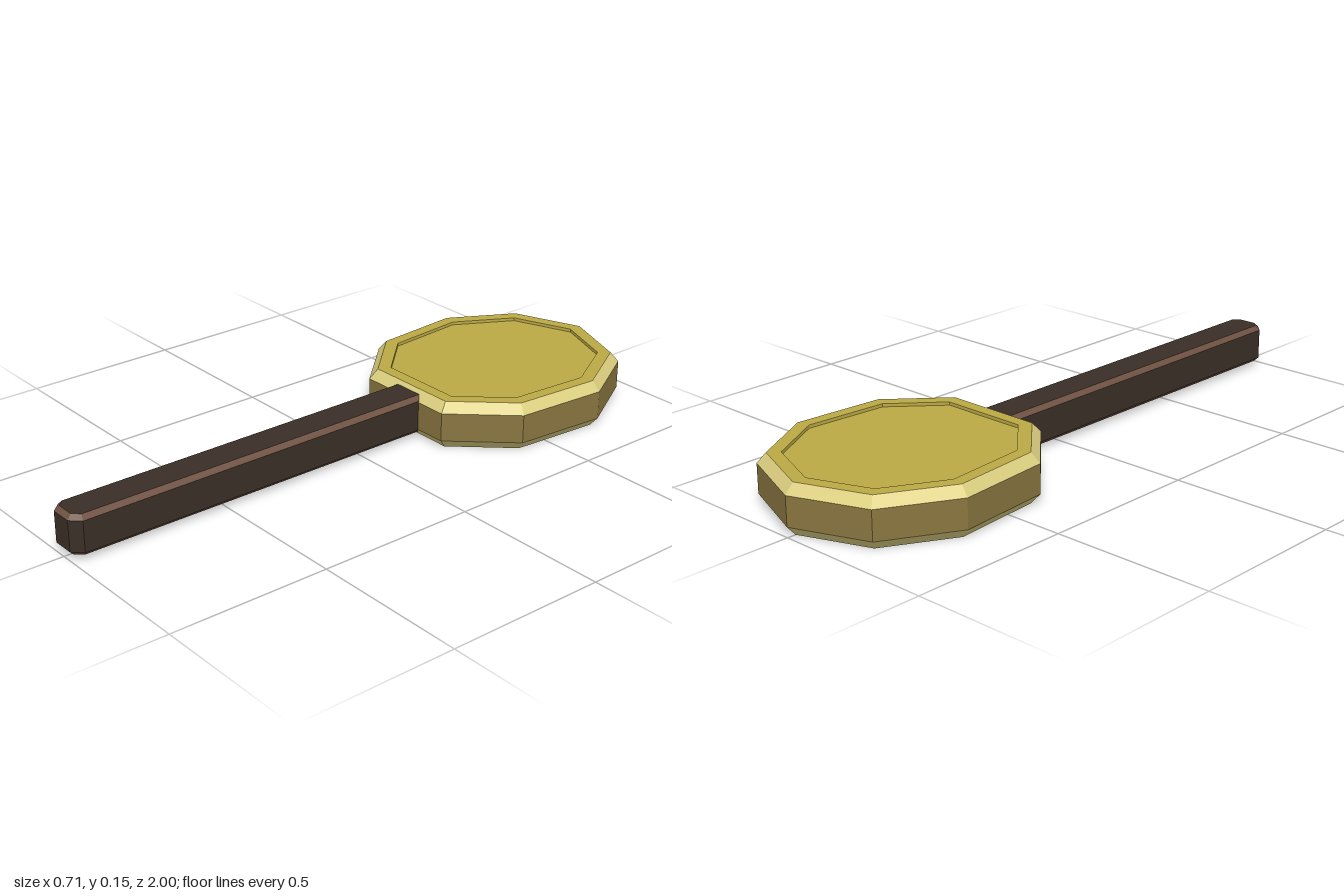
import * as THREE from 'three';

const mat = (name, color) => {
  const m = new THREE.MeshStandardMaterial({ color });
  m.name = name;
  return m;
};

// Complete a half outline of [x, z] points by mirroring it in x
const mirrored = (half) => [
  ...half,
  ...half.filter(([x]) => x > 0).reverse().map(([x, z]) => [-x, z]),
];

// Shrink a closed outline evenly by k
function inset(points, k) {
  const n = points.length;
  const normal = (a, b) => {
    const dx = b[0] - a[0], dz = b[1] - a[1], l = Math.hypot(dx, dz);
    return [-dz / l, dx / l];
  };
  return points.map((p, i) => {
    const n1 = normal(points[(i + n - 1) % n], p);
    const n2 = normal(p, points[(i + 1) % n]);
    const s = k / (1 + n1[0] * n2[0] + n1[1] * n2[1]);
    return [p[0] + (n1[0] + n2[0]) * s, p[1] + (n1[1] + n2[1]) * s];
  });
}

// Flat-faced solid from stacked rings { k: inset, y }; bands[i] is the
// material index between ring i and i + 1, and both caps use material 0
function stack(outline, rings, bands) {
  const pos = [];
  const geo = new THREE.BufferGeometry();
  const loops = rings.map(({ k, y }) => inset(outline, k).map(([x, z]) => [x, y, z]));
  const n = outline.length;
  const group = (index, fill) => {
    const start = pos.length / 3;
    fill();
    geo.addGroup(start, pos.length / 3 - start, index);
  };
  const cap = (loop, up) => {
    for (let i = 1; i < n - 1; i++) {
      const [a, b] = up ? [loop[i + 1], loop[i]] : [loop[i], loop[i + 1]];
      pos.push(...loop[0], ...a, ...b);
    }
  };
  group(0, () => cap(loops[0], false));
  bands.forEach((index, r) => group(index, () => {
    const lo = loops[r], hi = loops[r + 1];
    for (let i = 0; i < n; i++) {
      const j = (i + 1) % n;
      pos.push(...lo[j], ...lo[i], ...hi[i], ...lo[j], ...hi[i], ...hi[j]);
    }
  }));
  group(0, () => cap(loops[loops.length - 1], true));
  geo.setAttribute('position', new THREE.Float32BufferAttribute(pos, 3));
  geo.computeVertexNormals();
  return geo;
}

export function createModel() {
  const model = new THREE.Group();
  const gold = mat('gold', 0xbba945);
  const paleGold = mat('pale gold edge', 0xdccf80);
  const darkGold = mat('dark gold side', 0x8a7640);
  const wood = mat('dark wood', 0x3a2f27);
  const woodEdge = mat('worn wood edge', 0x6e5142);

  // Nine-sided head with bevelled edges and a shallow recess on top
  const headOutline = mirrored([
    [0, -1], [0.233, -0.91], [0.357, -0.69], [0.333, -0.39], [0.167, -0.21],
  ]);
  const head = new THREE.Mesh(
    stack(headOutline, [
      { k: 0.025, y: 0 }, { k: 0, y: 0.03 }, { k: 0, y: 0.12 },
      { k: 0.025, y: 0.15 }, { k: 0.064, y: 0.15 }, { k: 0.064, y: 0.14 },
    ], [1, 2, 1, 0, 0]),
    [gold, paleGold, darkGold],
  );
  head.name = 'head';

  // Straight handle with chamfered end and worn edges
  const handleOutline = mirrored([
    [0.063, -0.25], [0.063, 0.97], [0.035, 1],
  ]);
  const handle = new THREE.Mesh(
    stack(handleOutline, [
      { k: 0.014, y: 0.014 }, { k: 0, y: 0.028 },
      { k: 0, y: 0.124 }, { k: 0.014, y: 0.138 },
    ], [1, 0, 1]),
    [wood, woodEdge],
  );
  handle.name = 'handle';

  model.add(head, handle);
  return model;
}
